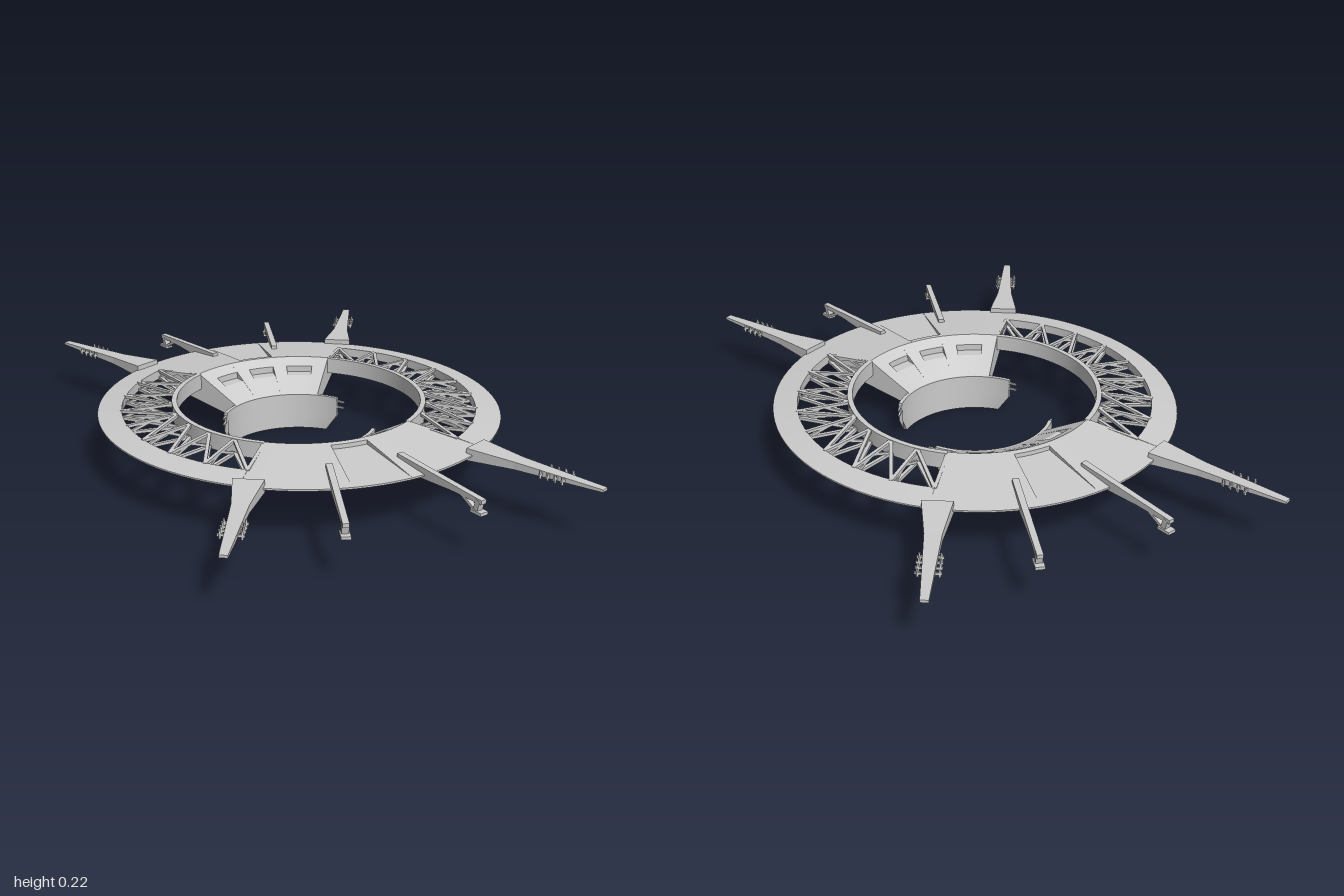
import * as THREE from 'three';
import { toCreasedNormals } from 'three/addons/utils/BufferGeometryUtils.js';

const RAD = Math.PI / 180;
const mat = new THREE.MeshStandardMaterial({ color: 0xcccccc, side: THREE.DoubleSide });

// Angles are in degrees from +z towards +x; the rim is a little narrower across x
function polar(a, r, y) {
  const s = Math.sin(a * RAD);
  const k = r > 0.65 ? r * (1 - 0.03 * s * s) : r;
  return new THREE.Vector3(k * s, y, k * Math.cos(a * RAD));
}

// Solid swept around y: counter-clockwise [radius, height] profile between two angles
function sector(name, profile, a0, a1, spread = () => 1) {
  const steps = Math.max(1, Math.ceil(Math.abs(a1 - a0) / 4));
  const pos = [];
  const point = (i, [r, y]) => polar((a0 + (a1 - a0) * i / steps) * spread(y), r, y);
  const tri = (...pts) => pts.forEach((p) => pos.push(p.x, p.y, p.z));
  for (let i = 0; i < steps; i++) {
    profile.forEach((p, j) => {
      const q = profile[(j + 1) % profile.length];
      const p0 = point(i, p), p1 = point(i + 1, p), q0 = point(i, q), q1 = point(i + 1, q);
      tri(p0, p1, q1);
      tri(p0, q1, q0);
    });
  }
  const outline = profile.map(([r, y]) => new THREE.Vector2(r, y));
  for (const [a, b, c] of THREE.ShapeUtils.triangulateShape(outline, [])) {
    tri(point(0, profile[a]), point(0, profile[b]), point(0, profile[c]));
    tri(point(steps, profile[c]), point(steps, profile[b]), point(steps, profile[a]));
  }
  const geo = new THREE.BufferGeometry();
  geo.setAttribute('position', new THREE.Float32BufferAttribute(pos, 3));
  const mesh = new THREE.Mesh(toCreasedNormals(geo, 0.15), mat);
  mesh.name = name;
  return mesh;
}

// Straight beam between two points, tapering from w0 x h0 to w1 x h1
function beam(name, from, to, w0, h0, w1 = w0, h1 = h0) {
  const length = from.distanceTo(to);
  const geo = new THREE.BoxGeometry(1, 1, length).translate(0, 0, length / 2).toNonIndexed();
  const p = geo.attributes.position;
  for (let i = 0; i < p.count; i++) {
    const t = p.getZ(i) / length;
    p.setXY(i, p.getX(i) * THREE.MathUtils.lerp(w0, w1, t), p.getY(i) * THREE.MathUtils.lerp(h0, h1, t));
  }
  geo.computeVertexNormals();
  const mesh = new THREE.Mesh(geo, mat);
  mesh.name = name;
  mesh.position.copy(from);
  mesh.lookAt(to);
  return mesh;
}

const v = (x, y, z) => new THREE.Vector3(x, y, z);

// Wedge deck cross-section, with an optional window recess and sunken ramp
function deckProfile(window, ramp) {
  return [
    [0.268, 0.08], [0.6, 0.155], [0.715, 0.181], [0.715, 0.187],
    ...(ramp ? [[0.45, 0.203], [0.45, 0.218]] : []),
    [0.43, 0.22], [0.42, 0.214],
    ...(window ? [[0.39, 0.197], [0.39, 0.174], [0.35, 0.174]] : []),
    [0.268, 0.13],
  ];
}

function buildDeck() {
  const g = new THREE.Group();
  g.name = 'wedgeDeck';
  // Deck slices: three windows on the inner slope, a ramp in the middle
  const slices = [[-36, -28.5], [-28.5, -14.5, 1], [-14.5, -8], [-8, -7, 0, 1], [-7, 7, 1, 1],
    [7, 8, 0, 1], [8, 14.5], [14.5, 28.5, 1], [28.5, 36]];
  for (const [a, b, win, ramp] of slices) g.add(sector('deckSlice', deckProfile(win, ramp), a, b));

  // Curved hub wall whose ends slant in towards the bottom
  const wall = [[0.262, 0], [0.275, 0], [0.275, 0.06], [0.275, 0.13], [0.262, 0.13], [0.262, 0.06]];
  g.add(sector('hubWall', wall, -53, 53, (y) => (y < 0.03 ? 44 / 53 : 1)));

  for (const s of [-1, 1]) {
    // Pairs of prongs at the wall ends
    for (const y of [0.095, 0.117]) {
      const rod = [[0.265, y - 0.003], [0.272, y - 0.003], [0.272, y + 0.003], [0.265, y + 0.003]];
      g.add(sector('prong', rod, s > 0 ? 52 : -59, s > 0 ? 59 : -52));
    }
    // Docking arm with a hooked end
    const at = (z, y) => v(s * (0.12 + (z - 0.57) * 0.27), y, z);
    g.add(beam('dockingArm', at(0.57, 0.196), at(0.94, 0.185), 0.022, 0.036, 0.02, 0.014));
    g.add(beam('armRoot', at(0.58, 0.188), at(0.8, 0.184), 0.02, 0.05, 0.02, 0.014));
    g.add(beam('armHook', at(0.925, 0.187), at(0.915, 0.143), 0.022, 0.018));
    g.add(beam('armFoot', at(0.9, 0.148), at(0.945, 0.148), 0.03, 0.01));
    g.add(beam('armBrace', at(0.91, 0.15), at(0.85, 0.183), 0.016, 0.01));

    // Long tapered outrigger with four crossbars
    const root = v(s * 0.385, 0.185, 0.575), tip = v(s * 0.603, 0.184, 0.993);
    const knee = root.clone().lerp(tip, 0.35);
    g.add(beam('outriggerRoot', root, knee, 0.1, 0.042, 0.055, 0.026));
    g.add(beam('outrigger', knee, tip, 0.055, 0.026, 0.026, 0.009));
    const side = v(tip.z - root.z, 0, root.x - tip.x).normalize().multiplyScalar(0.04);
    for (let i = 0; i < 4; i++) {
      const c = root.clone().lerp(tip, 0.56 + i * 0.055);
      g.add(beam('crossbar', c.clone().sub(side), c.clone().add(side), 0.006, 0.008));
      for (const e of [-0.8, 0.8]) {
        const p = c.clone().addScaledVector(side, e);
        g.add(beam('crossbarPin', p.clone().setY(0.172), p.clone().setY(0.198), 0.006, 0.006));
      }
    }
  }
  return g;
}

function buildSideRing() {
  const g = new THREE.Group();
  g.name = 'sideRing';
  const rim = [[0.612, 0.168], [0.715, 0.182], [0.715, 0.187], [0.612, 0.2]];
  const inner = [[0.422, 0.163], [0.44, 0.163], [0.44, 0.22], [0.422, 0.22]];
  g.add(sector('outerRim', rim, 36, 144));
  g.add(sector('innerRing', inner, 36, 144));

  // Lattice: radial bars, diagonals mirrored about the middle, and upright zigzags
  const bays = 8, step = 108 / bays;
  for (let i = 0; i <= bays; i++) {
    const a = 36 + i * step;
    const near = i < bays / 2 ? a + step : a;
    const far = i < bays / 2 ? a : a + step;
    for (const [yIn, yOut] of [[0.213, 0.196], [0.168, 0.173]]) {
      g.add(beam('radialBar', polar(a, 0.435, yIn), polar(a, 0.615, yOut), 0.012, 0.01));
      if (i < bays) g.add(beam('diagonalBar', polar(near, 0.435, yIn), polar(far, 0.615, yOut), 0.012, 0.01));
    }
    g.add(beam('uprightBrace', polar(a, 0.435, 0.168), polar(a, 0.525, 0.205), 0.009, 0.009));
    g.add(beam('uprightBrace', polar(a, 0.525, 0.205), polar(a, 0.61, 0.173), 0.009, 0.009));
  }
  return g;
}

export function createModel() {
  const model = new THREE.Group();
  model.name = 'ringStation';
  for (const turn of [0, Math.PI]) {
    const deck = buildDeck(), ring = buildSideRing();
    deck.rotation.y = ring.rotation.y = turn;
    model.add(deck, ring);
  }
  return model;
}
